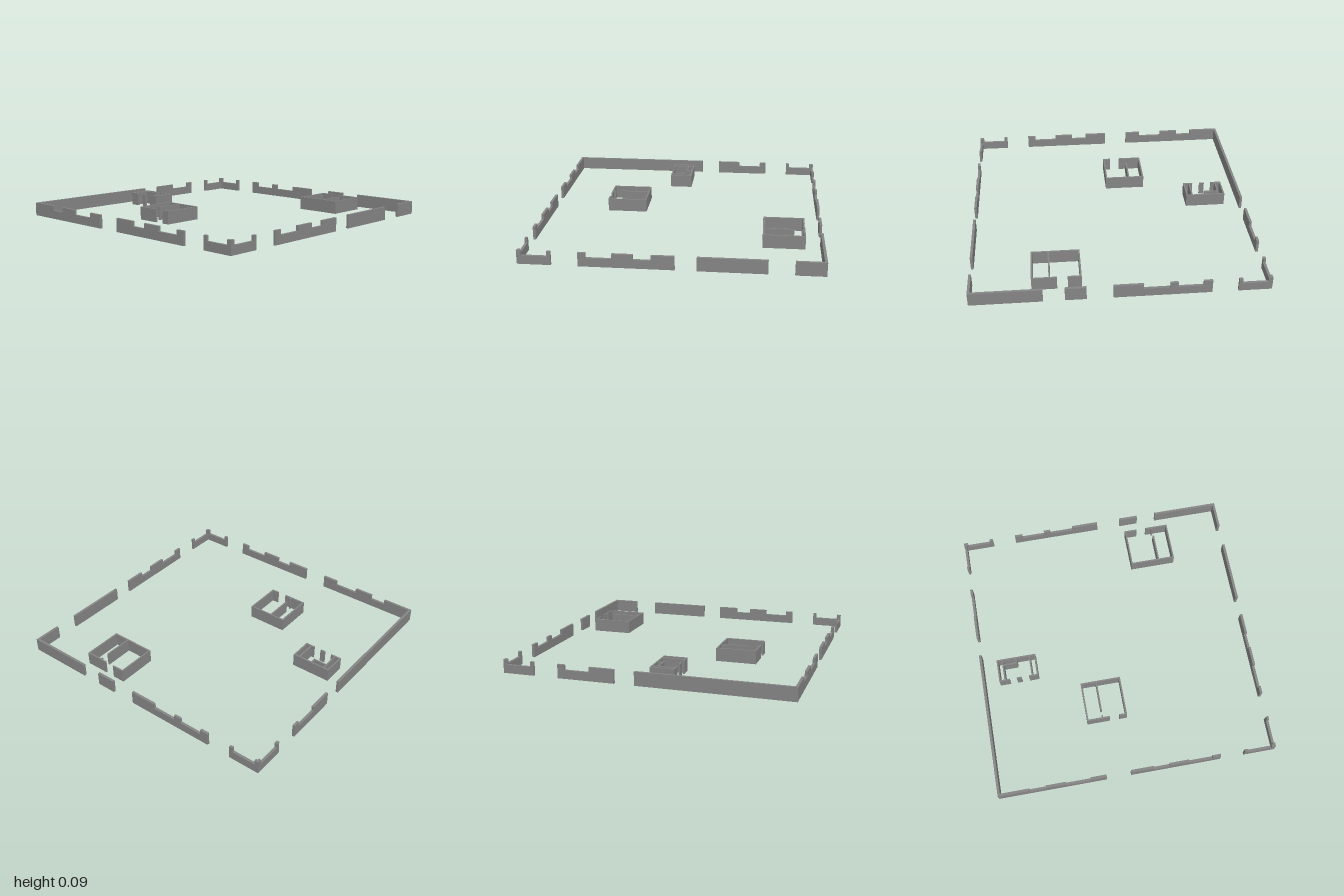
import * as THREE from 'three';

const H = 0.095;    // wall height
const SILL = 0.06;  // height of the wall inside a notch
const T = 0.018;    // perimeter wall thickness
const t = 0.011;    // hut wall thickness

const material = new THREE.MeshStandardMaterial({ color: 0x858585, flatShading: true });

// Upright wall from a to b along 'x' or 'z'; at = centre line, notches = [[from, to], ...]
function wall(name, axis, at, a, b, thickness, notches = []) {
  const shape = new THREE.Shape();
  shape.moveTo(b, 0);
  shape.lineTo(b, H);
  for (const [from, to] of [...notches].sort((p, q) => q[0] - p[0])) {
    shape.lineTo(to, H);
    shape.lineTo(to, SILL);
    shape.lineTo(from, SILL);
    shape.lineTo(from, H);
  }
  shape.lineTo(a, H);
  shape.lineTo(a, 0);
  const geometry = new THREE.ExtrudeGeometry(shape, { depth: thickness, bevelEnabled: false });
  geometry.translate(0, 0, -thickness / 2);
  if (axis === 'z') geometry.rotateY(-Math.PI / 2);
  const mesh = new THREE.Mesh(geometry, material);
  mesh.name = name;
  mesh.position[axis === 'x' ? 'z' : 'x'] = at;
  return mesh;
}

// Group of walls, each given as [name, axis, at, from, to, notches]
function walls(name, thickness, list) {
  const group = new THREE.Group();
  group.name = name;
  for (const [part, axis, at, a, b, notches] of list) {
    group.add(wall(part, axis, at, a, b, thickness, notches));
  }
  return group;
}

export function createModel() {
  const model = new THREE.Group();
  model.name = 'walledCompound';

  // Perimeter, with gateways between the segments
  const E = 1 - T / 2;
  const I = 1 - T;
  model.add(walls('perimeterWall', T, [
    ['frontWall', 'x', E, -I, -0.225, [[-0.775, -0.66], [-0.52, -0.34]]],
    ['frontWall', 'x', E, -0.05, 0.6, [[0.115, 0.23], [0.37, 0.54]]],
    ['frontWall', 'x', E, 0.775, I, [[0.8, 0.97]]],
    ['backWall', 'x', -E, -I, -0.775, [[-0.97, -0.8]]],
    ['backWall', 'x', -E, -0.6, 0.053, [[-0.54, -0.372], [-0.32, -0.145]]],
    ['backWall', 'x', -E, 0.23, 0.372],
    ['backWall', 'x', -E, 0.515, I],
    ['leftWall', 'z', E, 0.775, 1, [[0.8, 0.97]]],
    ['leftWall', 'z', E, -0.033, 0.597, [[0.12, 0.235], [0.375, 0.545]]],
    ['leftWall', 'z', E, -0.63, -0.175],
    ['leftWall', 'z', E, -1, -0.8],
    ['rightWall', 'z', -E, -1, -0.775, [[-0.97, -0.8]]],
    ['rightWall', 'z', -E, -0.6, -0.2, [[-0.55, -0.375]]],
    ['rightWall', 'z', -E, -0.06, 1],
  ]));

  const h = t / 2;

  // Small hut with two doorways and inner rooms
  model.add(walls('smallHut', t, [
    ['backWall', 'x', 0.001 + h, -0.877, -0.587],
    ['rightWall', 'z', -0.877 + h, 0.001 + t, 0.17],
    ['leftWall', 'z', -0.587 - h, 0.001 + t, 0.17],
    ['frontWall', 'x', 0.17 - h, -0.877 + t, -0.8],
    ['doorPillar', 'x', 0.17 - h, -0.748, -0.712],
    ['frontWall', 'x', 0.17 - h, -0.658, -0.587 - t],
    ['partition', 'z', -0.833, 0.001 + t, 0.17 - t],
    ['partition', 'z', -0.632, 0.001 + t, 0.17 - t],
    ['closetSide', 'z', -0.733, 0.001 + t, 0.053],
    ['closetFront', 'x', 0.047, -0.833 + h, -0.733 - h],
  ]));

  // Middle hut, doorway at the front
  model.add(walls('middleHut', t, [
    ['backWall', 'x', 0.29 + h, -0.294, -0.001],
    ['rightWall', 'z', -0.294 + h, 0.29 + t, 0.579],
    ['leftWall', 'z', -0.001 - h, 0.29 + t, 0.579],
    ['frontWall', 'x', 0.579 - h, -0.294 + t, -0.126],
    ['frontWall', 'x', 0.579 - h, -0.058, -0.001 - t],
    ['partition', 'z', -0.18, 0.29 + t, 0.505],
    ['partitionStub', 'z', -0.18, 0.553, 0.579 - t],
  ]));

  // Large hut, doorway at the back
  model.add(walls('largeHut', t, [
    ['frontWall', 'x', -0.59 - h, 0.254, 0.589],
    ['rightWall', 'z', 0.254 + h, -0.88, -0.59 - t],
    ['leftWall', 'z', 0.589 - h, -0.88, -0.59 - t],
    ['backWall', 'x', -0.88 + h, 0.254 + t, 0.347],
    ['backWall', 'x', -0.88 + h, 0.418, 0.589 - t],
    ['partition', 'z', 0.468, -0.805, -0.59 - t],
    ['partitionStub', 'z', 0.468, -0.88 + t, -0.855],
  ]));

  return model;
}
